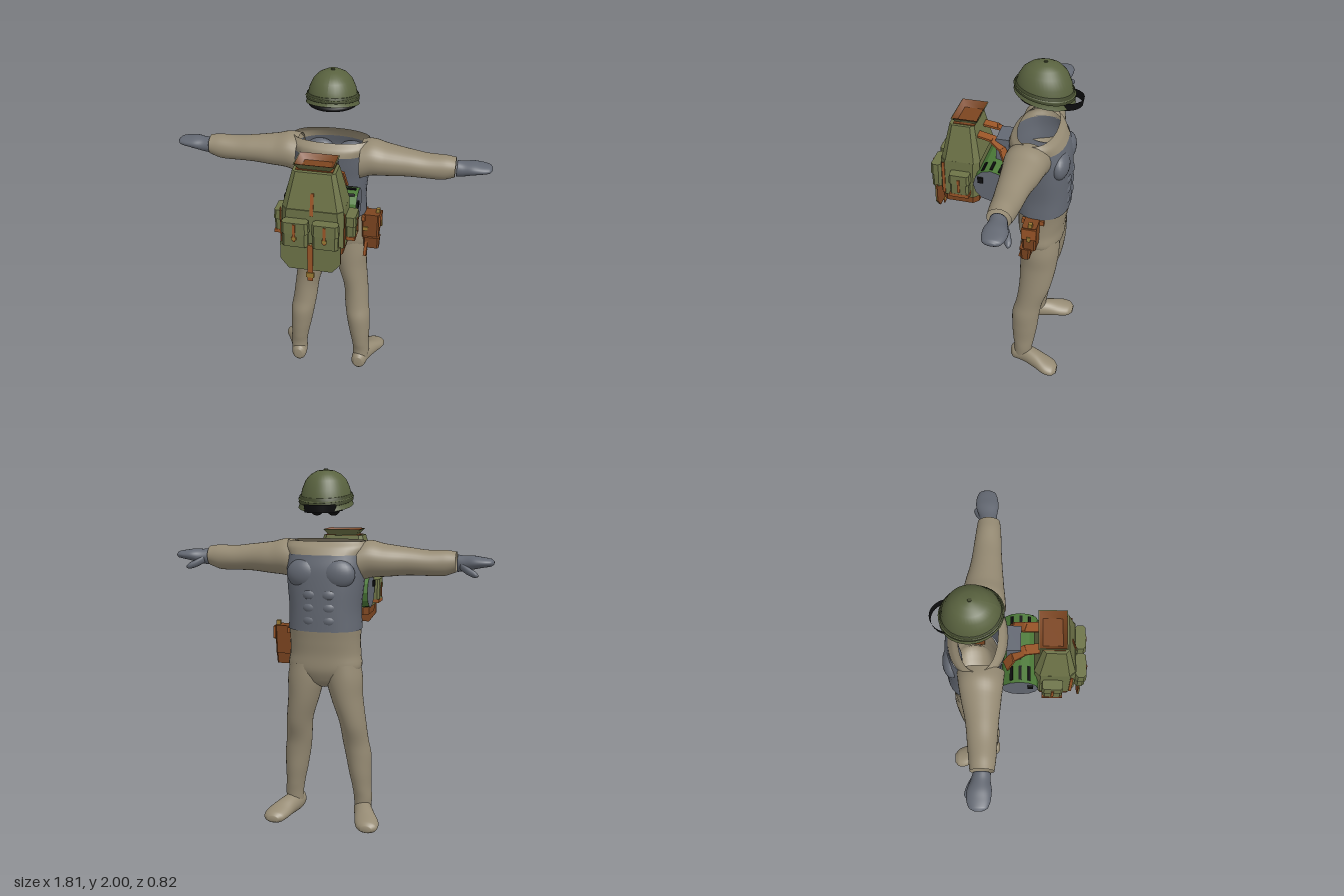
import * as THREE from 'three';

const mat = (name, color, side = THREE.DoubleSide) =>
  Object.assign(new THREE.MeshStandardMaterial({ color, side }), { name });

// Smooth tube through elliptical sections [t, c1, c2, r1, r2].
// Axis y: c1 = z, c2 = x. Axis x: c1 = y, c2 = z. Axis z: c1 = x, c2 = y.
function loft(axis, rows, { power = 2, capA = false, capB = false, n = 32, sub = 5 } = {}) {
  const sorted = [...rows].sort((a, b) => a[0] - b[0]);
  const centre = new THREE.CatmullRomCurve3(sorted.map(r => new THREE.Vector3(r[0], r[1], r[2])));
  const radius = new THREE.CatmullRomCurve3(sorted.map(r => new THREE.Vector3(r[3], r[4], 0)), false, 'catmullrom', 0.4);
  const put = (t, u, v) => axis === 'y' ? [v, t, u] : axis === 'x' ? [t, u, v] : [u, v, t];
  const pos = [], idx = [], steps = (rows.length - 1) * sub;
  const round = v => Math.sign(v) * Math.abs(v) ** (2 / power);
  for (let i = 0; i <= steps; i++) {
    const c = centre.getPoint(i / steps), r = radius.getPoint(i / steps);
    for (let j = 0; j < n; j++) {
      const a = j / n * Math.PI * 2;
      pos.push(...put(c.x, c.y + r.x * round(Math.cos(a)), c.z + r.y * round(Math.sin(a))));
      if (i < steps) {
        const p = i * n + j, q = i * n + (j + 1) % n;
        idx.push(p, q, q + n, p, q + n, p + n);
      }
    }
  }
  for (const [on, i] of [[capA, 0], [capB, steps]]) {
    if (!on) continue;
    const c = centre.getPoint(i / steps), k = pos.length / 3;
    pos.push(...put(c.x, c.y, c.z));
    for (let j = 0; j < n; j++) {
      const p = i * n + j, q = i * n + (j + 1) % n;
      idx.push(...(i ? [k, p, q] : [k, q, p]));
    }
  }
  const g = new THREE.BufferGeometry();
  g.setAttribute('position', new THREE.Float32BufferAttribute(pos, 3));
  g.setIndex(idx);
  g.computeVertexNormals();
  return g;
}

// Mirrored copy across x, with winding corrected
function mirror(geo) {
  const g = geo.clone().scale(-1, 1, 1), ix = g.index.array;
  for (let i = 0; i < ix.length; i += 3) [ix[i + 1], ix[i + 2]] = [ix[i + 2], ix[i + 1]];
  g.computeVertexNormals();
  return g;
}

// Chamfered upright block from y0 to y1, with its top scaled by sx, sz
function block(w, d, y0, y1, c, sx = 1, sz = 1) {
  const x = w / 2, z = d / 2;
  const s = new THREE.Shape([[-x + c, -z], [x - c, -z], [x, -z + c], [x, z - c], [x - c, z], [-x + c, z], [-x, z - c], [-x, -z + c]]
    .map(p => new THREE.Vector2(...p)));
  const g = new THREE.ExtrudeGeometry(s, { depth: y1 - y0, bevelEnabled: false }).rotateX(-Math.PI / 2).translate(0, y0, 0);
  const p = g.attributes.position;
  for (let i = 0; i < p.count; i++)
    if (p.getY(i) > (y0 + y1) / 2) p.setXYZ(i, p.getX(i) * sx, y1, p.getZ(i) * sz);
  g.computeVertexNormals();
  return g;
}

export function createModel() {
  const model = new THREE.Group();
  const tan = mat('tan cloth', 0x968b74), grey = mat('grey armour', 0x636872);
  const helmetGreen = mat('helmet green', 0x59623f), darkGreen = mat('dark green', 0x434a2e);
  const olive = mat('olive canvas', 0x6d7347), leaf = mat('bedroll green', 0x4c7a38);
  const brown = mat('brown leather', 0x7c4520), orange = mat('strap orange', 0x9a5527);
  const black = mat('black rubber', 0x0d0d0e), brass = mat('brass', 0x9a7a34);

  const add = (name, geo, material, x = 0, y = 0, z = 0, parent = model) => {
    const m = new THREE.Mesh(geo, material);
    m.name = name;
    m.position.set(x, y, z);
    parent.add(m);
    return m;
  };
  const box = (name, w, h, d, material, x, y, z) => add(name, new THREE.BoxGeometry(w, h, d), material, x, y, z);
  const pair = (name, geo, material) => { add(name + 'Left', geo, material); add(name + 'Right', mirror(geo), material); };
  const ball = (x, y, z, a, b, c) => new THREE.SphereGeometry(1, 24, 16).scale(a, b, c).translate(x, y, z);
  // Flat strap through points
  const strap = (name, pts, w, t, material) => {
    for (let i = 0; i + 1 < pts.length; i++) {
      const a = new THREE.Vector3(...pts[i]), b = new THREE.Vector3(...pts[i + 1]);
      const m = box(name, w, t, a.distanceTo(b) + t, material, 0, 0, 0);
      m.position.copy(a).lerp(b, 0.5);
      m.lookAt(b);
    }
  };

  // Trousers and feet
  add('hips', loft('y', [[0.81, -0.22, 0, 0.05, 0.03], [0.85, -0.22, 0, 0.095, 0.12], [0.92, -0.222, 0, 0.12, 0.205],
    [1.0, -0.213, 0, 0.133, 0.2], [1.08, -0.217, 0, 0.14, 0.198], [1.16, -0.22, 0, 0.15, 0.203]], { power: 2.3, capA: true }), tan);
  pair('leg', loft('y', [[0.05, -0.15, 0.205, 0.055, 0.048], [0.13, -0.157, 0.207, 0.056, 0.052], [0.2, -0.157, 0.2, 0.067, 0.055],
    [0.3, -0.16, 0.19, 0.078, 0.066], [0.4, -0.164, 0.18, 0.083, 0.074], [0.48, -0.18, 0.168, 0.08, 0.074],
    [0.6, -0.207, 0.156, 0.093, 0.075], [0.75, -0.22, 0.125, 0.107, 0.09], [0.86, -0.223, 0.11, 0.113, 0.104],
    [0.95, -0.222, 0.1, 0.113, 0.1]]), tan);
  pair('foot', loft('z', [[-0.08, 0.2, 0.06, 0.025, 0.035], [-0.1, 0.2, 0.06, 0.045, 0.055], [-0.16, 0.207, 0.062, 0.052, 0.06],
    [-0.24, 0.235, 0.056, 0.06, 0.054], [-0.31, 0.262, 0.044, 0.07, 0.042], [-0.36, 0.272, 0.036, 0.06, 0.034],
    [-0.386, 0.274, 0.033, 0.03, 0.018]], { capA: true, capB: true }), tan);

  // Armoured vest with chest and belly relief, facing -z
  add('vest', loft('y', [[1.14, -0.215, 0, 0.155, 0.205], [1.25, -0.212, 0, 0.158, 0.2], [1.4, -0.205, 0, 0.16, 0.213],
    [1.48, -0.195, 0, 0.162, 0.22], [1.55, -0.18, 0, 0.157, 0.218]], { power: 2.4 }), grey);
  pair('chestPlate', ball(0.095, 1.45, -0.315, 0.095, 0.08, 0.053), grey);
  for (const y of [1.2, 1.27, 1.34]) pair('bellyPlate', ball(0.05, y, -0.335, 0.05, 0.038, 0.038), grey);

  // Open collar, sleeves and gloves
  add('shoulders', loft('y', [[1.545, -0.18, 0, 0.158, 0.22], [1.585, -0.175, 0, 0.14, 0.235], [1.62, -0.175, 0, 0.105, 0.22]],
    { power: 2.2 }), tan);
  pair('sleeve', loft('x', [[0.18, 1.505, -0.16, 0.11, 0.125], [0.24, 1.52, -0.158, 0.103, 0.118], [0.32, 1.515, -0.155, 0.09, 0.106],
    [0.45, 1.512, -0.146, 0.076, 0.086], [0.55, 1.506, -0.143, 0.07, 0.077], [0.64, 1.507, -0.14, 0.07, 0.07],
    [0.705, 1.514, -0.139, 0.056, 0.062]]), tan);
  pair('glove', loft('x', [[0.712, 1.508, -0.14, 0.046, 0.045], [0.75, 1.508, -0.145, 0.042, 0.05], [0.8, 1.515, -0.15, 0.036, 0.062],
    [0.85, 1.517, -0.152, 0.027, 0.06], [0.89, 1.517, -0.152, 0.02, 0.046], [0.905, 1.517, -0.152, 0.008, 0.02]],
  { capA: true, capB: true }), grey);
  pair('thumb', loft('x', [[0.73, 1.5, -0.17, 0.024, 0.02], [0.77, 1.475, -0.195, 0.022, 0.02], [0.81, 1.458, -0.21, 0.018, 0.017],
    [0.828, 1.452, -0.214, 0.006, 0.006]], { capA: true, capB: true, n: 16 }), grey);

  // Helmet: round shell tipped lower toward the face
  const shell = pts => {
    const g = new THREE.LatheGeometry(pts.map(p => new THREE.Vector2(...p)), 40).scale(1, 1, 1.1);
    const p = g.attributes.position;
    for (let i = 0; i < p.count; i++)
      p.setXYZ(i, p.getX(i), p.getY(i) + p.getZ(i) * 0.2 * (2 - p.getY(i)) / 0.18, p.getZ(i) - 0.2);
    g.computeVertexNormals();
    return g;
  };
  add('helmet', shell([[0.148, 1.81], [0.14, 1.83], [0.136, 1.86], [0.128, 1.9], [0.108, 1.945], [0.08, 1.974], [0.045, 1.992], [0, 1.998]]), helmetGreen);
  add('helmetBand', shell([[0.142, 1.833], [0.147, 1.836], [0.142, 1.868], [0.136, 1.87]]), darkGreen);
  add('helmetBandCord', shell([[0.144, 1.85], [0.149, 1.852], [0.144, 1.856]]), helmetGreen);
  add('helmetStud', new THREE.CylinderGeometry(0.01, 0.012, 0.01, 12), darkGreen, 0, 1.996, -0.2);
  add('helmetLining', new THREE.CylinderGeometry(0.122, 0.115, 0.03, 28, 1, true, -1.4, 2.8), brown, 0, 1.835, -0.2);

  // Goggles under the helmet rim
  add('gogglesVisor', new THREE.CylinderGeometry(0.09, 0.085, 0.042, 24, 1, true, Math.PI / 2, Math.PI).scale(1, 1, 1.15), black, 0, 1.797, -0.305);
  pair('gogglesSide', new THREE.BoxGeometry(0.012, 0.035, 0.12).translate(0.085, 1.797, -0.25), black);
  pair('gogglesPad', ball(0.046, 1.788, -0.22, 0.036, 0.034, 0.033), black);
  add('gogglesStrap', new THREE.TorusGeometry(0.125, 0.013, 8, 28, Math.PI).rotateX(Math.PI / 2), black, 0, 1.816, -0.2);

  // Backpack body, open collar and hanging flap
  add('packBase', block(0.33, 0.21, 1.155, 1.22, 0.03), brown, 0, 0, 0.233);
  add('packBody', block(0.35, 0.22, 1.2, 1.42, 0.03, 0.95, 1), olive, 0, 0, 0.233);
  add('packTop', block(0.332, 0.22, 1.42, 1.62, 0.03, 0.7, 0.62), olive, 0, 0, 0.228);
  const collar = k => new THREE.CylinderGeometry(0.707, 0.5, 0.036, 4, 1, true).rotateY(Math.PI / 4).scale(0.22 * k, 1, 0.15 * k);
  add('packCollar', collar(1), olive, 0, 1.637, 0.21);
  add('packCollarLining', collar(0.95), brown, 0, 1.639, 0.21);
  box('packOpening', 0.2, 0.004, 0.12, brown, 0, 1.622, 0.215);
  const flap = new THREE.Shape([[-0.165, 1.235], [-0.165, 1.13], [-0.12, 1.072], [0.12, 1.072], [0.165, 1.13], [0.165, 1.235]]
    .map(p => new THREE.Vector2(...p)));
  const flapGeo = new THREE.ExtrudeGeometry(flap, { depth: 0.006, bevelEnabled: false });
  add('packFlap', flapGeo, olive, 0, 0, 0.372);
  add('packFlapLining', flapGeo, brown, 0, 0, 0.366);
  strap('flapStrap', [[0, 1.23, 0.382], [0, 1.01, 0.382]], 0.03, 0.008, orange);
  box('flapBuckle', 0.044, 0.03, 0.012, brass, 0, 1.045, 0.384);
  strap('topStrap', [[0, 1.51, 0.32], [0, 1.395, 0.344]], 0.018, 0.008, orange);

  // Backpack pockets
  for (const s of [-1, 1]) {
    add('frontPocket', block(0.14, 0.055, 1.225, 1.36, 0.015), olive, s * 0.082, 0, 0.372);
    add('frontPocketFlap', block(0.148, 0.063, 1.305, 1.37, 0.015, 0.94, 0.9), olive, s * 0.082, 0, 0.373);
    strap('frontPocketStrap', [[s * 0.082, 1.36, 0.404], [s * 0.082, 1.265, 0.406]], 0.014, 0.006, orange);
    box('frontPocketBuckle', 0.026, 0.018, 0.008, brass, s * 0.082, 1.28, 0.406);
    add('sidePocket', block(0.055, 0.105, 1.235, 1.35, 0.012), olive, s * 0.195, 0, 0.22);
    add('sidePocketFlap', block(0.064, 0.118, 1.31, 1.365, 0.012, 0.9, 0.94), olive, s * 0.194, 0, 0.22);
    box('sidePocketTrim', 0.058, 0.02, 0.112, orange, s * 0.194, 1.235, 0.22);
    box('sidePocketStrap', 0.006, 0.08, 0.014, orange, s * 0.226, 1.3, 0.22);
    box('packEdgeTrim', 0.006, 0.2, 0.016, orange, s * 0.174, 1.31, 0.32);

    // Harness straps to the wearer's back
    strap('shoulderStrap', [[s * 0.06, 1.55, 0.15], [s * 0.065, 1.535, 0.07], [s * 0.085, 1.49, 0.005], [s * 0.1, 1.4, -0.03]], 0.055, 0.012, orange);
    strap('waistStrap', [[s * 0.1, 1.24, 0.09], [s * 0.1, 1.25, 0.0], [s * 0.1, 1.22, -0.05], [s * 0.1, 1.15, -0.05], [s * 0.1, 1.085, -0.015]], 0.03, 0.008, grey);
    box('rollClip', 0.02, 0.035, 0.03, black, s * 0.2, 1.35, 0.1);

    // Black ties over the bedroll
    for (const a of [-0.5, 0, 0.5]) {
      const m = box('rollTie', 0.08, 0.008, 0.016, black, s * 0.145, 1.315 + 0.097 * Math.cos(a), 0.045 + 0.097 * Math.sin(a));
      m.rotation.x = a;
    }
  }
  const roll = new THREE.CylinderGeometry(0.098, 0.098, 0.4, 12).toNonIndexed().rotateZ(Math.PI / 2);
  roll.computeVertexNormals();
  const rollMesh = add('bedroll', roll, [leaf, grey, grey], 0, 1.315, 0.045);
  // restore side and end groups
  rollMesh.geometry.clearGroups();
  [[0, 72, 0], [72, 36, 1], [108, 36, 2]].forEach(r => rollMesh.geometry.addGroup(...r));
  box('backPad', 0.14, 0.15, 0.075, grey, 0, 1.465, 0.01);

  // Holster on the left hip
  add('holster', block(0.1, 0.075, 0.98, 1.14, 0.01, 1.1, 1.1), brown, 0.238, 0, -0.195);
  box('holsterFlap', 0.012, 0.07, 0.085, orange, 0.294, 1.1, -0.195);
  box('holsterStud', 0.012, 0.03, 0.02, brass, 0.3, 1.07, -0.195);
  add('holsterTip', block(0.09, 0.05, 0.915, 0.99, 0.01, 1.1, 1.3), brown, 0.248, 0, -0.175);
  box('holsterGrip', 0.022, 0.06, 0.022, brass, 0.278, 1.135, -0.2);
  strap('holsterTie', [[0.22, 0.97, -0.155], [0.215, 0.875, -0.13]], 0.018, 0.012, orange);
  strap('holsterBelt', [[0.2, 1.12, -0.15], [0.2, 1.12, -0.245]], 0.02, 0.03, orange);
  box('holsterButton', 0.03, 0.025, 0.008, brass, 0.21, 1.045, -0.152);

  return model;
}
